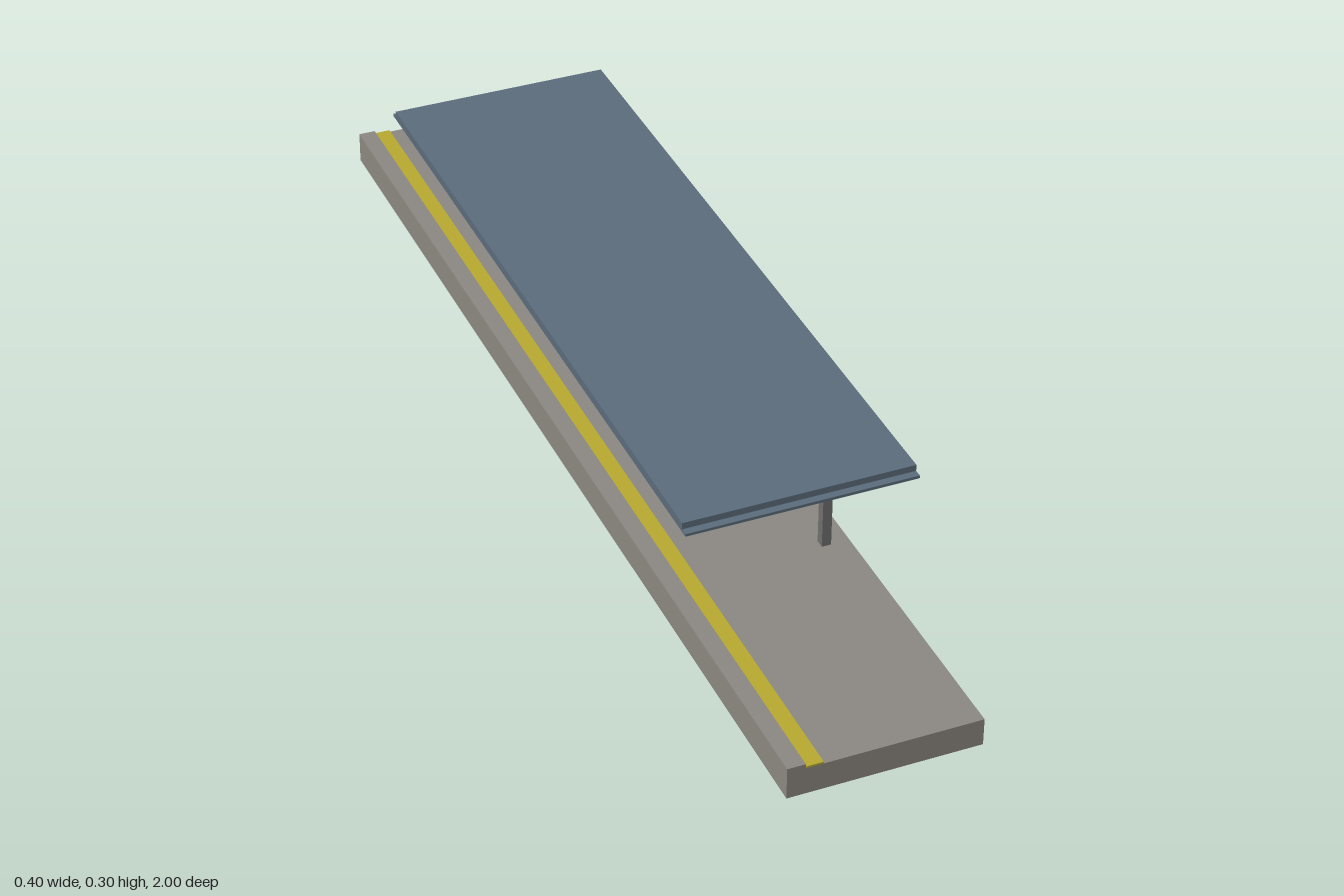
import * as THREE from 'three';

const mat = (color) => new THREE.MeshStandardMaterial({ color });

export function createModel() {
  const model = new THREE.Group();
  const concrete = mat(0x8a8680);
  const yellow = mat(0xb5a82f);
  const steel = mat(0x6e6e6e);
  const roofing = mat(0x5a6b7a);
  const wood = mat(0x7a6248);

  // Box given by its centre in x and z, its bottom and top in y
  function box(parent, name, material, x, z, width, length, bottom, top) {
    const mesh = new THREE.Mesh(new THREE.BoxGeometry(width, top - bottom, length), material);
    mesh.position.set(x, (bottom + top) / 2, z);
    mesh.name = name;
    parent.add(mesh);
  }

  // Platform with raised kerb and safety line along the track side
  const deck = 0.05;
  box(model, 'platform', concrete, 0, 0, 0.3333, 2, 0, deck);
  box(model, 'kerb', concrete, -0.1512, 0, 0.031, 2, deck, 0.0583);
  box(model, 'safetyLine', yellow, -0.1267, 0, 0.042, 2, deck, 0.0535);

  // Canopy: roof slab, end trims and posts
  const canopy = new THREE.Group();
  canopy.name = 'canopy';
  model.add(canopy);
  const eaves = 0.2833;
  box(canopy, 'roof', roofing, 0, 0, 0.4, 1.3333, eaves, 0.3);
  for (const side of [-1, 1]) {
    box(canopy, 'roofEndTrim', roofing, 0, side * 0.6667, 0.4, 0.0267, eaves, 0.2883);
  }
  for (const z of [-0.5, 0, 0.5]) {
    box(canopy, 'post', steel, 0.125, z, 0.0167, 0.0167, deck, eaves);
  }

  // Benches: plank seat on two slab legs
  for (const z of [-0.29, 0, 0.29]) {
    const bench = new THREE.Group();
    bench.name = 'bench';
    bench.position.set(0.0833, 0, z);
    box(bench, 'seat', wood, 0, 0, 0.05, 0.1, 0.0693, 0.0743);
    for (const side of [-1, 1]) {
      box(bench, 'benchLeg', steel, 0, side * 0.0325, 0.05, 0.008, deck, 0.0693);
    }
    model.add(bench);
  }
  return model;
}
